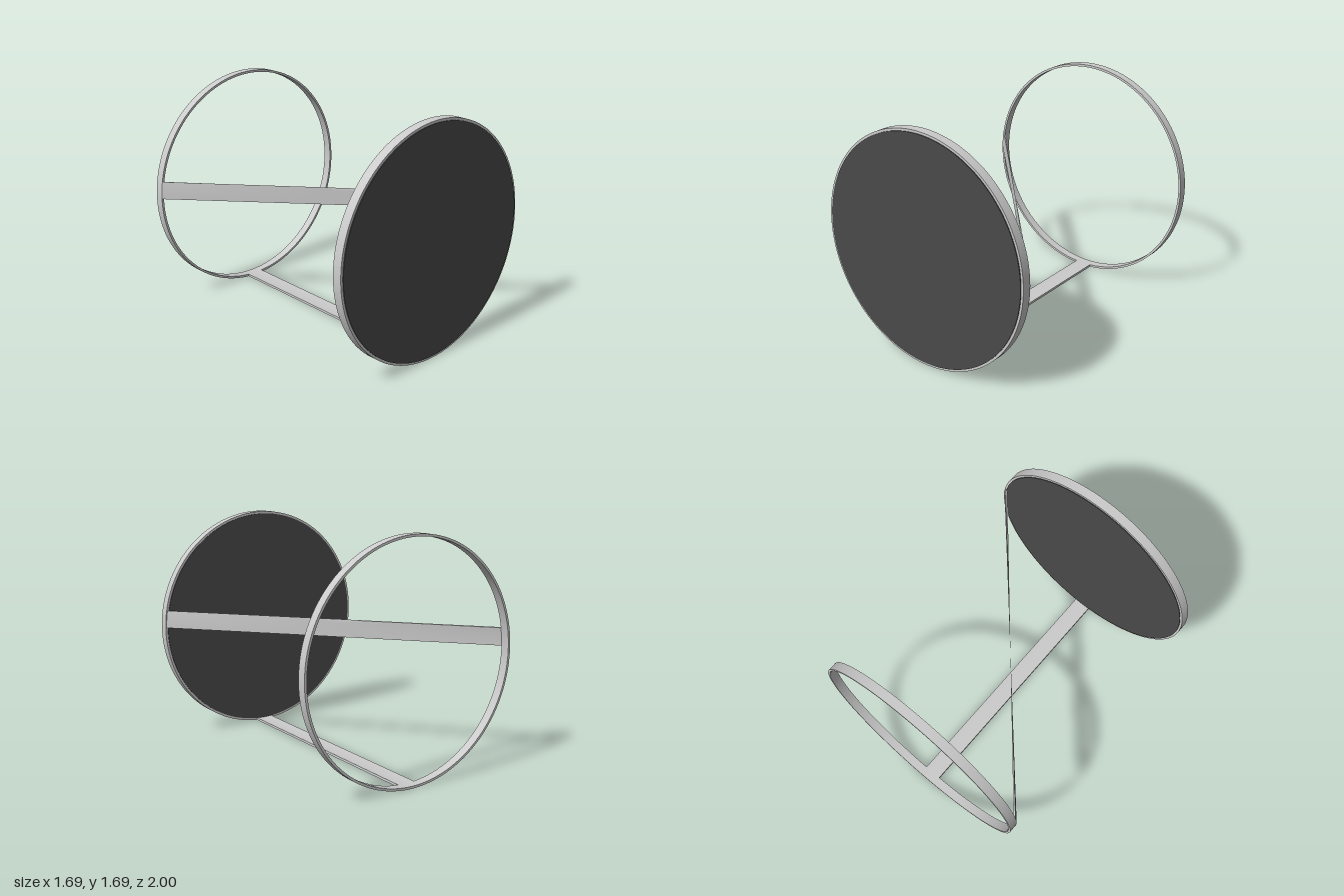
import * as THREE from 'three';
import { toCreasedNormals } from 'three/addons/utils/BufferGeometryUtils.js';

const R = 0.843;      // outer radius, also the height of the axis
const INNER = 0.826;  // inner radius
const grey = new THREE.MeshStandardMaterial({ color: 0xcccccc, side: THREE.DoubleSide });
const dark = new THREE.MeshStandardMaterial({ color: 0x4a4a4a });

function addMesh(group, name, geometry, material) {
  const mesh = new THREE.Mesh(geometry, material);
  mesh.name = name;
  group.add(mesh);
  return mesh;
}

function extrude(shape, z0, z1) {
  const g = new THREE.ExtrudeGeometry(shape, { depth: z1 - z0, bevelEnabled: false, curveSegments: 96 });
  g.translate(0, R, z0);
  return toCreasedNormals(g, 0.6);
}

function hoop(z0, z1) {
  const shape = new THREE.Shape().absarc(0, 0, R, 0, Math.PI * 2, false);
  shape.holes.push(new THREE.Path().absarc(0, 0, INNER, 0, Math.PI * 2, true));
  return extrude(shape, z0, z1);
}

// Half of the crossing bar: an arc slice of the hoop that narrows to a line at the centre
function halfBar(a0, a1, length) {
  const n = 6, steps = 12, loop = [], pos = [], index = [];
  for (let i = 0; i <= n; i++) loop.push([R, a0 + (a1 - a0) * i / n]);
  for (let i = n; i >= 0; i--) loop.push([INNER, a0 + (a1 - a0) * i / n]);
  const m = loop.length;
  for (let k = 0; k <= steps; k++) {
    const t = k / steps;
    for (const [r, a] of loop) pos.push(t * r * Math.cos(a), R + r * Math.sin(a), t * length);
  }
  for (let k = 0; k < steps; k++) {
    for (let i = 0; i < m; i++) {
      const a = k * m + i, b = k * m + (i + 1) % m;
      index.push(a, b, a + m, b, b + m, a + m);
    }
  }
  const g = new THREE.BufferGeometry();
  g.setAttribute('position', new THREE.Float32BufferAttribute(pos, 3));
  g.setIndex(index);
  return toCreasedNormals(g, 0.6);
}

export function createModel() {
  const model = new THREE.Group();
  model.name = 'drumFrame';

  // End hoops
  addMesh(model, 'frontHoop', hoop(0.925, 0.994), grey);
  addMesh(model, 'backHoop', hoop(-1, -0.933), grey);

  // Dark panel filling the front hoop, slightly proud on both sides
  const panel = new THREE.CylinderGeometry(INNER, INNER, 0.08, 128);
  panel.rotateX(Math.PI / 2);
  panel.translate(0, R, 0.96);
  addMesh(model, 'frontPanel', panel, dark);

  // Straight bar along the bottom
  const w = 0.08, down = -Math.PI / 2;
  const slice = new THREE.Shape();
  slice.absarc(0, 0, R, down - w, down + w, false);
  slice.absarc(0, 0, INNER, down + w, down - w, true);
  addMesh(model, 'bottomBar', extrude(slice, -0.935, 0.93), grey);

  // Diagonal bar from one side of the back hoop to the other side of the front hoop
  const diagonal = new THREE.Group();
  diagonal.name = 'diagonalBar';
  const half = halfBar(0.012, 0.167, 0.933);
  addMesh(diagonal, 'frontHalf', half, grey);
  addMesh(diagonal, 'backHalf', half, grey).rotation.y = Math.PI;
  model.add(diagonal);

  return model;
}
